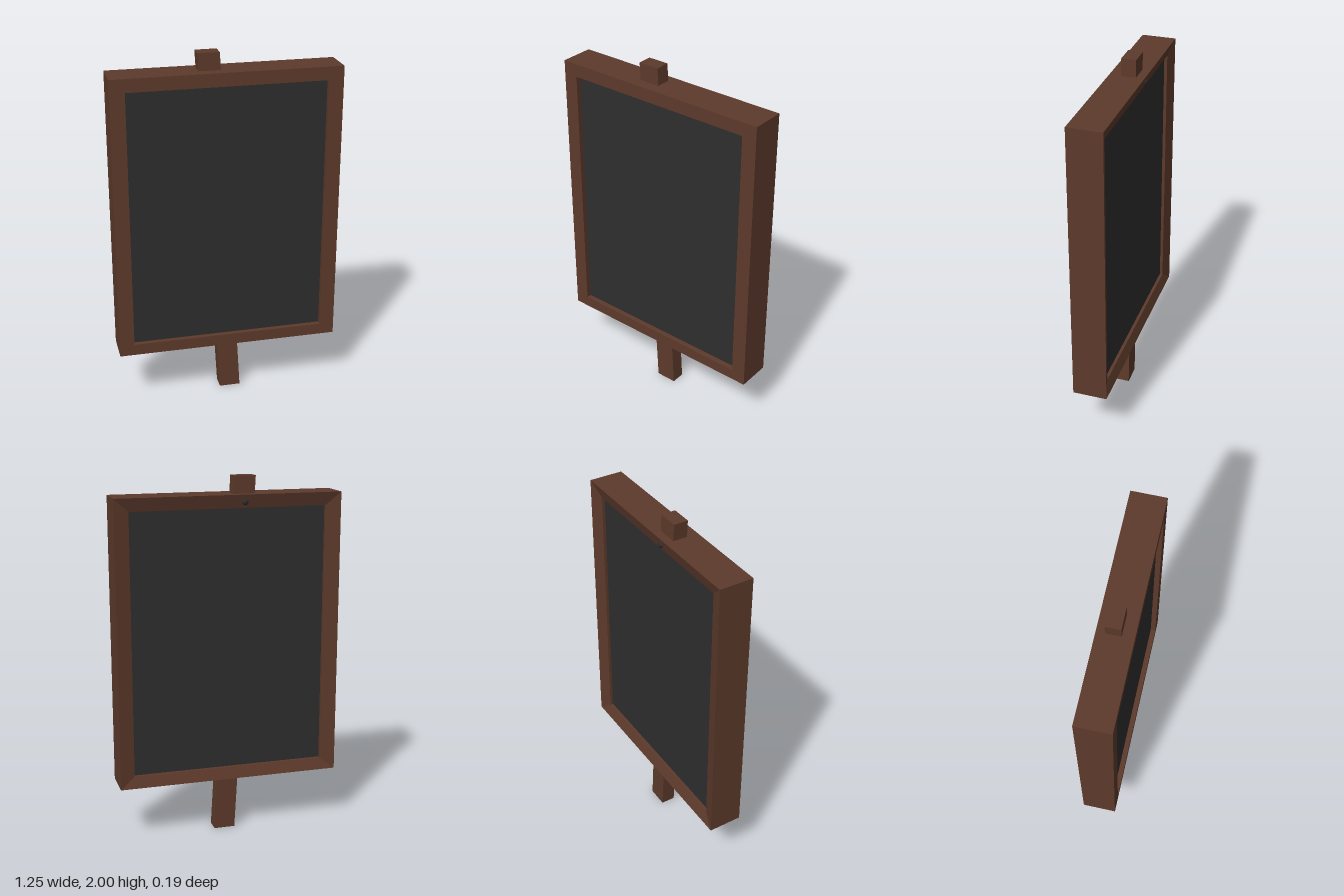
import * as THREE from 'three';

const wood = new THREE.MeshStandardMaterial({ color: 0x5d3a2b });
wood.name = 'brown wood';
const slate = new THREE.MeshStandardMaterial({ color: 0x2e2e2e });
slate.name = 'dark slate';

function part(name, geometry, material, x = 0, y = 0, z = 0) {
  const mesh = new THREE.Mesh(geometry, material);
  mesh.name = name;
  mesh.position.set(x, y, z);
  return mesh;
}

// Corners of an upright rectangle, anticlockwise seen from +z
const rect = (hw, y0, y1, z) => [[-hw, y0, z], [hw, y0, z], [hw, y1, z], [-hw, y1, z]];

// Closed ring of mitred rails swept through four rectangular loops
function frameGeometry() {
  const loops = [
    rect(0.625, 0.312, 1.905, -0.095), // outer back
    rect(0.625, 0.312, 1.905, 0.095),  // outer front
    rect(0.543, 0.376, 1.832, 0.095),  // opening front
    rect(0.543, 0.376, 1.832, -0.073), // opening back, sunk so the back rails slope inward
  ];
  const points = [];
  loops.forEach((from, k) => {
    const to = loops[(k + 1) % loops.length];
    for (let i = 0; i < 4; i++) {
      const j = (i + 1) % 4;
      points.push(...from[i], ...from[j], ...to[j], ...from[i], ...to[j], ...to[i]);
    }
  });
  const geometry = new THREE.BufferGeometry();
  geometry.setAttribute('position', new THREE.Float32BufferAttribute(points, 3));
  geometry.computeVertexNormals();
  return geometry;
}

// Post leaning towards -x with level ends
function postGeometry() {
  const geometry = new THREE.BoxGeometry(0.118, 2, 0.08);
  const shear = new THREE.Matrix4().makeShear(0, 0, -0.0575, 0, 0, 0);
  const p = geometry.attributes.position;
  shear.identity();
  for (let i = 0; i < p.count; i++) p.setX(i, p.getX(i) - 0.0575 * p.getY(i));
  geometry.computeVertexNormals();
  return geometry;
}

export function createModel() {
  const sign = new THREE.Group();
  sign.name = 'chalkboardSign';

  sign.add(part('frame', frameGeometry(), wood));
  sign.add(part('board', new THREE.BoxGeometry(1.09, 1.46, 0.122), slate, 0, 1.104, 0.005));
  sign.add(part('post', postGeometry(), wood, -0.036, 1, -0.009));

  // Small round nail head on the back of the top rail
  const nail = part('nail', new THREE.SphereGeometry(0.018, 12, 8), slate, -0.085, 1.866, -0.083);
  nail.scale.z = 0.7;
  sign.add(nail);

  return sign;
}
